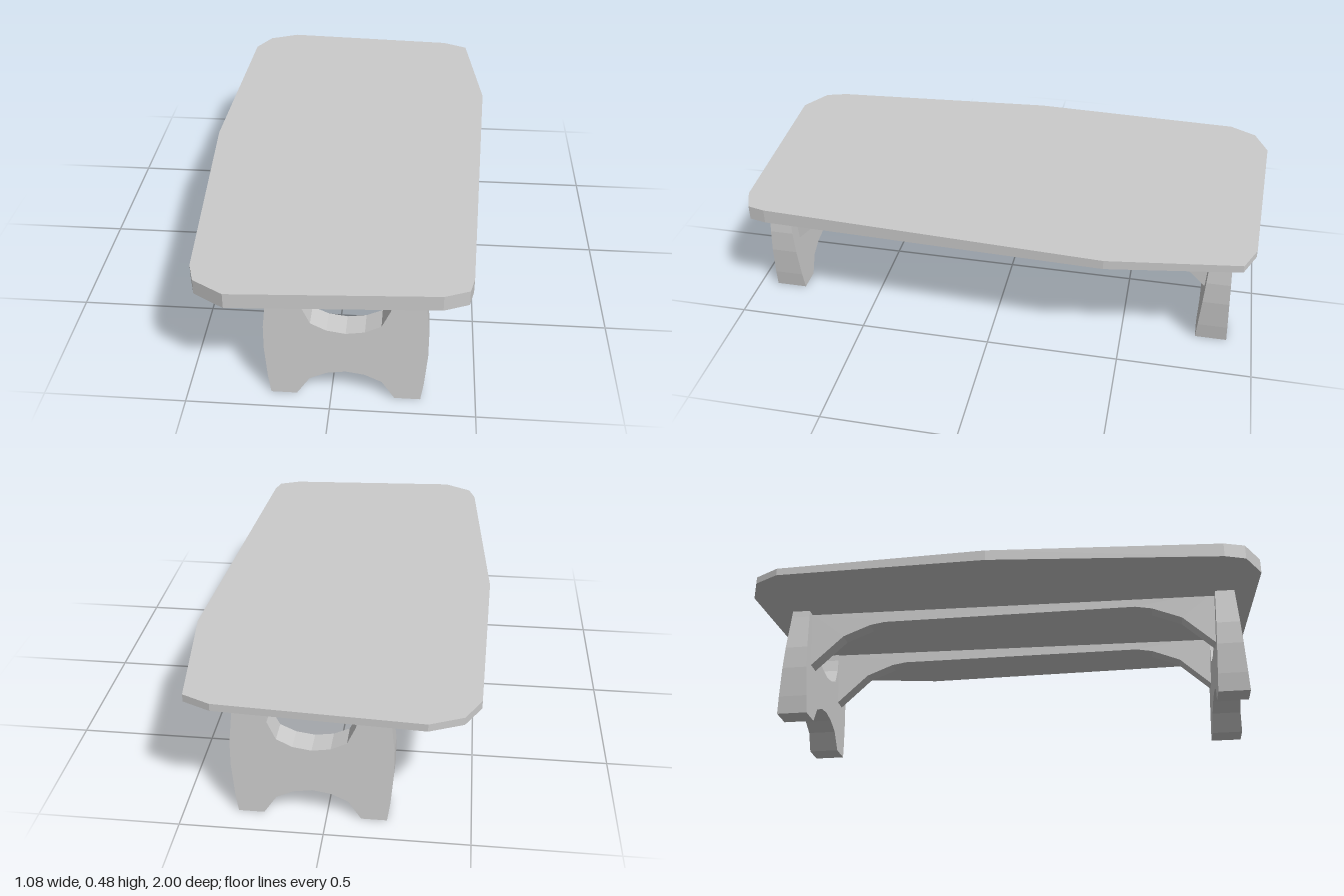
import * as THREE from 'three';

const material = new THREE.MeshStandardMaterial({ color: 0xcccccc, flatShading: true });

// Straight extrusion of a polygon, from 0 to depth along z
function slab(points, depth) {
  const shape = new THREE.Shape(points.map(([x, y]) => new THREE.Vector2(x, y)));
  return new THREE.ExtrudeGeometry(shape, { depth, bevelEnabled: false });
}

// Apply a rule to every vertex
function reshape(geometry, rule) {
  const pos = geometry.attributes.position;
  const v = new THREE.Vector3();
  for (let i = 0; i < pos.count; i++) {
    rule(v.fromBufferAttribute(pos, i));
    pos.setXYZ(i, v.x, v.y, v.z);
  }
  geometry.computeVertexNormals();
  return geometry;
}

export function createModel() {
  const group = new THREE.Group();
  const add = (name, geometry, x = 0, z = 0) => {
    const mesh = new THREE.Mesh(geometry, material);
    mesh.name = name;
    mesh.position.set(x, 0, z);
    group.add(mesh);
  };
  const centreX = 0.05; // the legs and rails sit slightly off centre

  // Irregular table top (x, z), thicker towards the front
  const outline = [
    [-0.34, -1], [0.37, -0.96], [0.47, -0.915], [0.535, -0.43], [0.47, 0.86],
    [0.455, 0.925], [0.37, 0.96], [-0.34, 1], [-0.45, 0.935], [-0.475, 0.855],
    [-0.54, -0.03], [-0.51, -0.85], [-0.455, -0.95],
  ];
  const top = slab(outline.map(([x, z]) => [x, -z]), 1).rotateX(-Math.PI / 2);
  add('tableTop', reshape(top, (v) => {
    v.y = v.y > 0.5 ? 0.482 : 0.425 + 0.015 * (1 - v.z);
  }));

  // Leg panels: half outline from lower arch to upper notch, mirrored
  const half = [
    [0, 0.106], [0.065, 0.096], [0.125, 0.068], [0.17, 0], [0.26, 0],
    [0.27, 0.07], [0.28, 0.19], [0.28, 0.28], [0.265, 0.425], [0.262, 0.465],
    [0.16, 0.465], [0.16, 0.425], [0.15, 0.37], [0.12, 0.305], [0.065, 0.278], [0, 0.268],
  ];
  const mirrored = half.slice(1, -1).reverse().map(([x, y]) => [-x, y]);
  const leg = reshape(slab([...half, ...mirrored], 1), (v) => {
    v.z = (v.z - 0.5) * 2 * (0.06 - 0.053 * v.y); // taper upwards
  });
  add('frontLeg', leg, centreX, 0.87);
  add('backLeg', leg, centreX, -0.845);

  // Two long rails under the top, with curved braces at the ends (z, y)
  const railProfile = [
    [0.84, 0.45], [0.84, 0.21], [0.82, 0.225], [0.70, 0.34], [0.585, 0.388], [0.52, 0.4],
    [-0.50, 0.4], [-0.56, 0.39], [-0.67, 0.345], [-0.80, 0.22], [-0.82, 0.205], [-0.82, 0.465],
  ];
  const rail = slab(railProfile, 0.06).translate(0, 0, -0.03).rotateY(-Math.PI / 2);
  add('leftRail', rail, centreX + 0.195);
  add('rightRail', rail, centreX - 0.195);

  return group;
}
